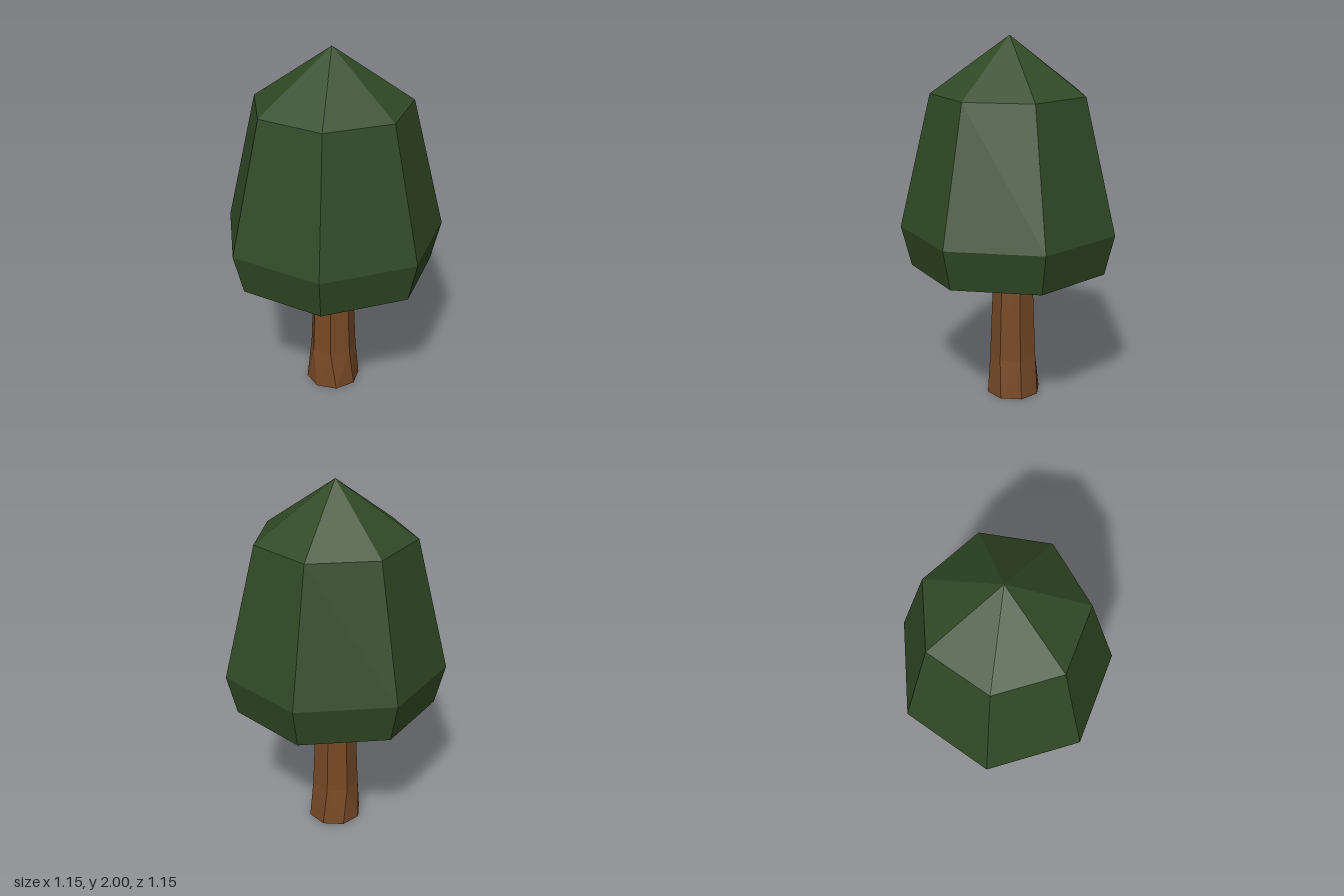
import * as THREE from 'three';
import { ConvexGeometry } from 'three/addons/geometries/ConvexGeometry.js';

// Regular polygon of points at height y, first corner toward +x
function ring(sides, radius, y) {
  return Array.from({ length: sides }, (_, i) => {
    const a = (i / sides) * Math.PI * 2;
    return new THREE.Vector3(Math.cos(a) * radius, y, Math.sin(a) * radius);
  });
}

export function createModel() {
  const leafGreen = new THREE.MeshStandardMaterial({ color: 0x314a26, flatShading: true });
  leafGreen.name = 'leafGreen';
  const barkBrown = new THREE.MeshStandardMaterial({ color: 0x774926, flatShading: true });
  barkBrown.name = 'barkBrown';

  const tree = new THREE.Group();
  tree.name = 'tree';

  // Seven-sided crown: flat underside, wide belly, tapered shoulder, pointed top
  const profile = [[0, 0.76], [0.552, 0.76], [0.607, 0.98], [0.43, 1.7], [0, 2]]
    .map(([r, y]) => new THREE.Vector2(r, y));
  const crown = new THREE.Mesh(new THREE.LatheGeometry(profile, 7, Math.PI / 2), leafGreen);
  crown.name = 'crown';
  crown.position.x = -0.031;
  crown.scale.z = 0.975;
  tree.add(crown);

  const trunk = new THREE.Group();
  trunk.name = 'trunk';
  trunk.position.set(-0.027, 0, -0.021);
  tree.add(trunk);

  // Flared foot: eight-sided on the ground, seven-sided where it meets the stem
  const foot = new THREE.Mesh(
    new ConvexGeometry([...ring(8, 0.152, 0), ...ring(7, 0.132, 0.22)]), barkBrown);
  foot.name = 'trunkFoot';
  trunk.add(foot);

  // Tapered stem, ending just inside the crown
  const stem = new THREE.Mesh(
    new THREE.CylinderGeometry(0.109, 0.132, 0.56, 7, 1, true, Math.PI / 2), barkBrown);
  stem.name = 'trunkStem';
  stem.position.y = 0.5;
  trunk.add(stem);

  return tree;
}
